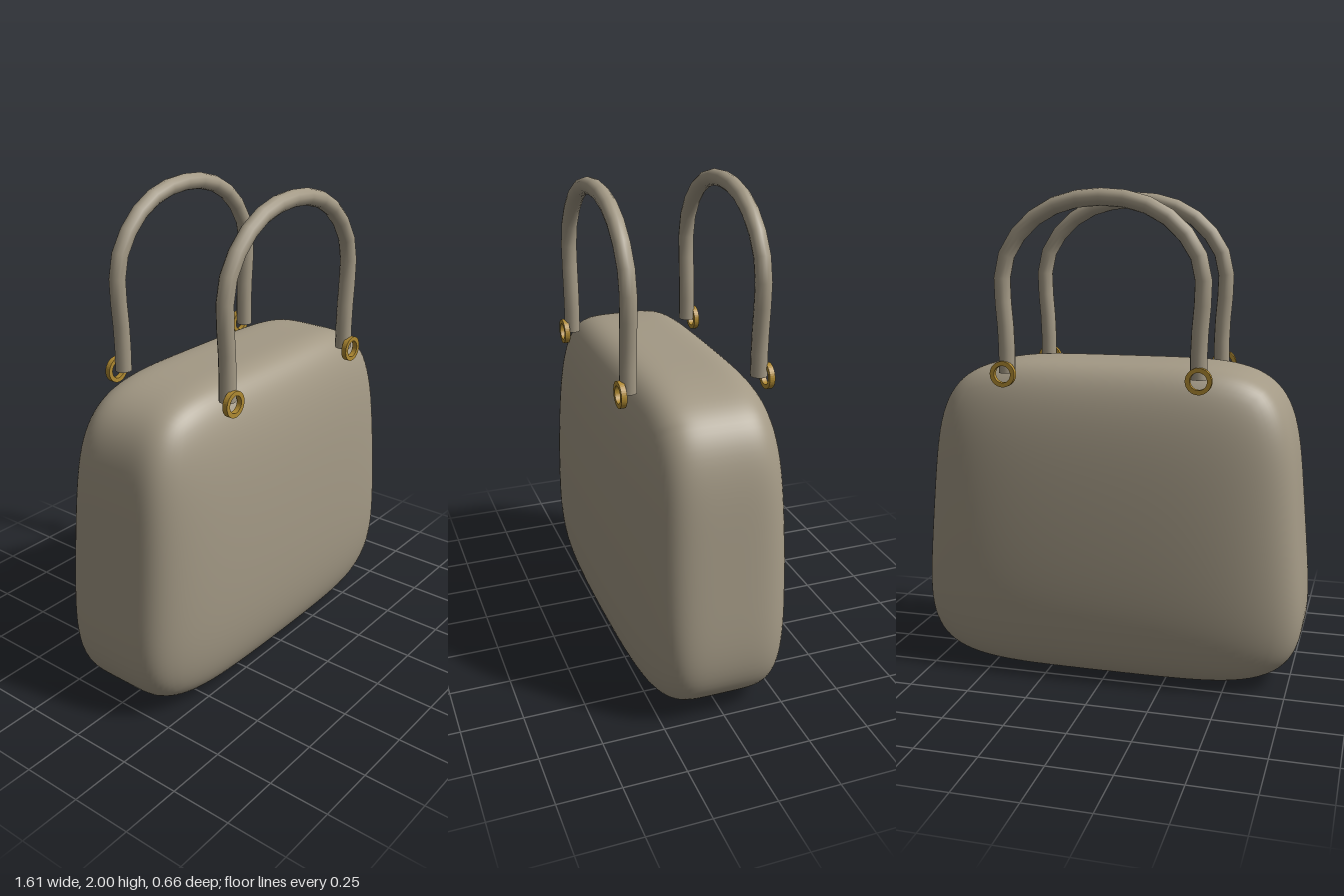
import * as THREE from 'three';
import { mergeVertices } from 'three/addons/utils/BufferGeometryUtils.js';

const N = 5; // roundness of the body: higher is boxier

// Soft boxy body: a cube rounded to a superellipsoid, tapered upwards and slightly bulged in z
function bodyGeometry() {
  let geo = new THREE.BoxGeometry(2, 2, 2, 36, 36, 36);
  geo.deleteAttribute('normal');
  geo.deleteAttribute('uv');
  geo = mergeVertices(geo);
  const pos = geo.attributes.position;
  const p = new THREE.Vector3();
  for (let i = 0; i < pos.count; i++) {
    p.fromBufferAttribute(pos, i);
    const norm = Math.pow(
      Math.abs(p.x) ** N + Math.abs(p.y) ** N + Math.abs(p.z) ** N, 1 / N);
    p.divideScalar(norm);
    const y = 0.663 + 0.658 * p.y;
    const width = 0.837 - 0.083 * y;
    const depth = 0.329 * (1 - 0.09 * p.x * p.x) * (1 - 0.05 * p.y - 0.12 * p.y * p.y);
    pos.setXYZ(i, p.x * width, y, p.z * depth);
  }
  geo.computeVertexNormals();
  return geo;
}

// Flat metal ring facing z
function ringGeometry() {
  const shape = new THREE.Shape().absarc(0, 0, 0.052, 0, Math.PI * 2, false);
  shape.holes.push(new THREE.Path().absarc(0, 0, 0.034, 0, Math.PI * 2, true));
  const geo = new THREE.ExtrudeGeometry(shape, { depth: 0.022, bevelEnabled: false, curveSegments: 20 });
  return geo.translate(0, 0, -0.011);
}

export function createModel() {
  const leather = new THREE.MeshStandardMaterial({ name: 'taupe leather', color: 0xa39985 });
  const brass = new THREE.MeshStandardMaterial({ name: 'brass', color: 0xb08a32 });
  const model = new THREE.Group();
  model.name = 'handbag';

  const add = (name, geo, mat, x, y, z, parent = model) => {
    const mesh = new THREE.Mesh(geo, mat);
    mesh.name = name;
    mesh.position.set(x, y, z);
    parent.add(mesh);
  };

  add('body', bodyGeometry(), leather, 0, 0, 0);

  // Handle centre line, mirrored about x = 0
  const half = [[0.39, 1.28], [0.39, 1.42], [0.403, 1.6], [0.402, 1.67], [0.375, 1.765], [0.285, 1.875], [0.16, 1.944]];
  const points = [
    ...half.map(([x, y]) => new THREE.Vector3(-x, y, 0)),
    new THREE.Vector3(0, 1.967, 0),
    ...half.slice().reverse().map(([x, y]) => new THREE.Vector3(x, y, 0)),
  ];
  const handleGeo = new THREE.TubeGeometry(new THREE.CatmullRomCurve3(points), 20, 0.0335, 12);
  const capGeo = new THREE.CircleGeometry(0.0335, 12).rotateX(Math.PI / 2);
  const ringGeo = ringGeometry();

  // One handle with two rings on the front and on the back
  for (const side of [1, -1]) {
    const group = new THREE.Group();
    group.name = side > 0 ? 'frontHandle' : 'backHandle';
    model.add(group);
    add('handle', handleGeo, leather, 0, 0, side * 0.265, group);
    for (const x of [-1, 1]) {
      add('handleEnd', capGeo, leather, x * 0.39, 1.28, side * 0.265, group);
      add('ring', ringGeo, brass, x * 0.396, 1.278, side * 0.298, group);
    }
  }
  return model;
}
